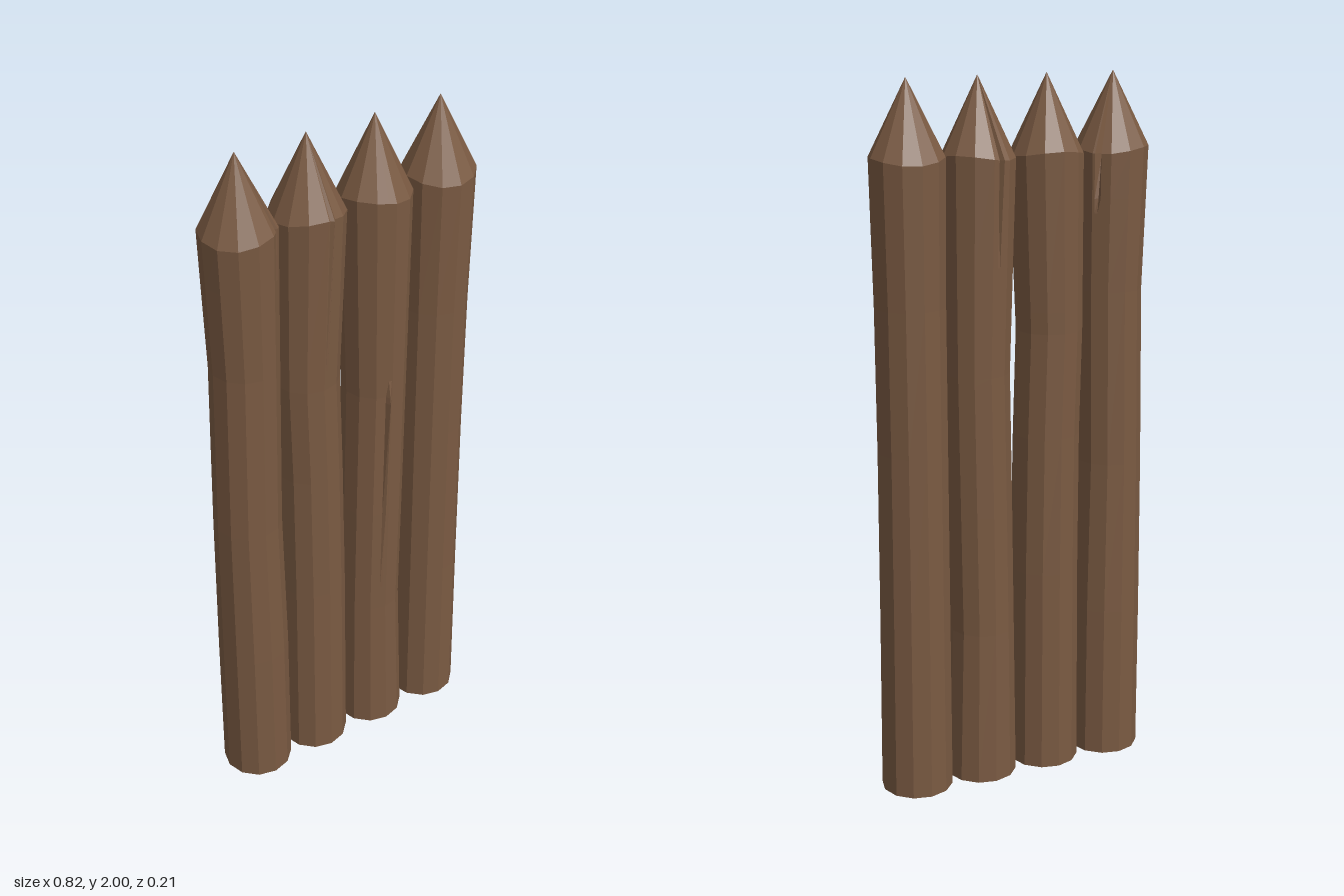
import * as THREE from 'three';

const SIDES = 12, RADIUS = 0.102, SHOULDER = 1.79;

// bend: [height, x shift, radius scale]; creases: splits (depth > 0) and raised splinters (depth < 0),
// deepest at height "at" and fading out over the heights from..to
const LOGS = [
  { x: -0.308, bend: [[0, 0, 1], [0.45, 0, 0.99], [0.9, -0.003, 0.93], [1.4, 0.005, 0.92], [SHOULDER, 0.001, 1]],
    creases: [{ angle: 2.25, depth: 0.03, from: 1.62, at: SHOULDER }, { angle: 0.82, depth: 0.022, from: 1.66, at: SHOULDER }] },
  { x: -0.103, bend: [[0, 0, 0.99], [0.6, 0, 0.95], [1.0, -0.004, 0.92], [1.3, -0.012, 0.91], [SHOULDER, 0, 1]],
    creases: [{ angle: 0.12, depth: -0.008, from: 1.36, at: SHOULDER }] },
  { x: 0.103, bend: [[0, 0, 1], [0.45, -0.005, 0.9], [0.8, 0, 0.9], [1.2, 0.006, 0.89], [SHOULDER, 0, 1]],
    creases: [{ angle: -0.12, depth: -0.014, from: 0.53, at: 1.18, to: 1.25 },
      { angle: 3.4, depth: 0.02, from: 1.5, at: SHOULDER }] },
  { x: 0.308, bend: [[0, 0, 1], [0.5, -0.002, 0.97], [1.0, -0.003, 0.95], [1.4, -0.002, 0.95], [SHOULDER, 0, 1]],
    creases: [] },
];

// Straight interpolation of the bend list at a height
function bendAt(bend, y) {
  let i = 0;
  while (i < bend.length - 2 && y > bend[i + 1][0]) i++;
  const a = bend[i], b = bend[i + 1];
  const t = THREE.MathUtils.clamp((y - a[0]) / (b[0] - a[0]), 0, 1);
  return [THREE.MathUtils.lerp(a[1], b[1], t), THREE.MathUtils.lerp(a[2], b[2], t)];
}

// Distance from the axis to a regular twelve-sided outline of unit radius
function outline(angle) {
  const step = Math.PI * 2 / SIDES;
  const local = angle - (Math.floor(angle / step) + 0.5) * step;
  return Math.cos(step / 2) / Math.cos(local);
}

function creaseDepth(c, y) {
  if (y <= c.from || y > (c.to ?? c.at)) return 0;
  if (y <= c.at) return c.depth * (y - c.from) / (c.at - c.from);
  return c.depth * (c.to - y) / (c.to - c.at);
}

function logGeometry(log, index) {
  // Columns: the regular corners plus three for each crease
  const columns = [];
  for (let i = 0; i < SIDES; i++) columns.push({ angle: i * Math.PI * 2 / SIDES });
  for (const c of log.creases) {
    for (const d of [-0.09, 0, 0.09]) {
      const angle = (c.angle + d + Math.PI * 2) % (Math.PI * 2);
      columns.push({ angle, crease: d === 0 ? c : null });
    }
  }
  columns.sort((a, b) => a.angle - b.angle);

  // Rings: recessed base, bottom rim, bent trunk, pointed tip
  const heights = new Set(log.bend.map(b => b[0]));
  log.creases.forEach(c => [c.from, c.at, c.to ?? c.at].forEach(y => heights.add(y)));
  const trunk = [...heights].sort((a, b) => a - b);
  const rings = [[0, 0.03], [0.76, 0.03], [0.8, 0]];
  trunk.forEach(y => rings.push([1, y]));
  rings.push([0, 2]);

  const points = rings.map(([scale, y], r) => columns.map(col => {
    const isTrunk = r >= 3 && r < rings.length - 1;
    const [shift, size] = bendAt(log.bend, y);
    let radius = RADIUS * scale * size * outline(col.angle);
    if (isTrunk && col.crease) radius -= creaseDepth(col.crease, y);
    // Slightly uneven shoulder cut
    const wave = y === SHOULDER ? 0.008 * Math.sin(col.angle * 2 + index * 1.7) : 0;
    const bendX = r === rings.length - 1 ? 0 : shift;
    return [log.x + bendX + Math.sin(col.angle) * radius, y + wave, Math.cos(col.angle) * radius];
  }));

  const position = [];
  const n = columns.length;
  for (let r = 0; r < rings.length - 1; r++) {
    for (let j = 0; j < n; j++) {
      const k = (j + 1) % n;
      const a = points[r][j], b = points[r][k], c = points[r + 1][k], d = points[r + 1][j];
      if (r > 0) position.push(...a, ...b, ...c);
      if (r < rings.length - 2) position.push(...a, ...c, ...d);
    }
  }
  const geometry = new THREE.BufferGeometry();
  geometry.setAttribute('position', new THREE.Float32BufferAttribute(position, 3));
  geometry.computeVertexNormals();
  return geometry;
}

export function createModel() {
  const group = new THREE.Group();
  group.name = 'palisade';
  const wood = new THREE.MeshStandardMaterial({ color: 0x7a5a42 });
  wood.name = 'brown wood';
  LOGS.forEach((log, i) => {
    const mesh = new THREE.Mesh(logGeometry(log, i), wood);
    mesh.name = 'sharpenedLog' + (i + 1);
    group.add(mesh);
  });
  return group;
}
